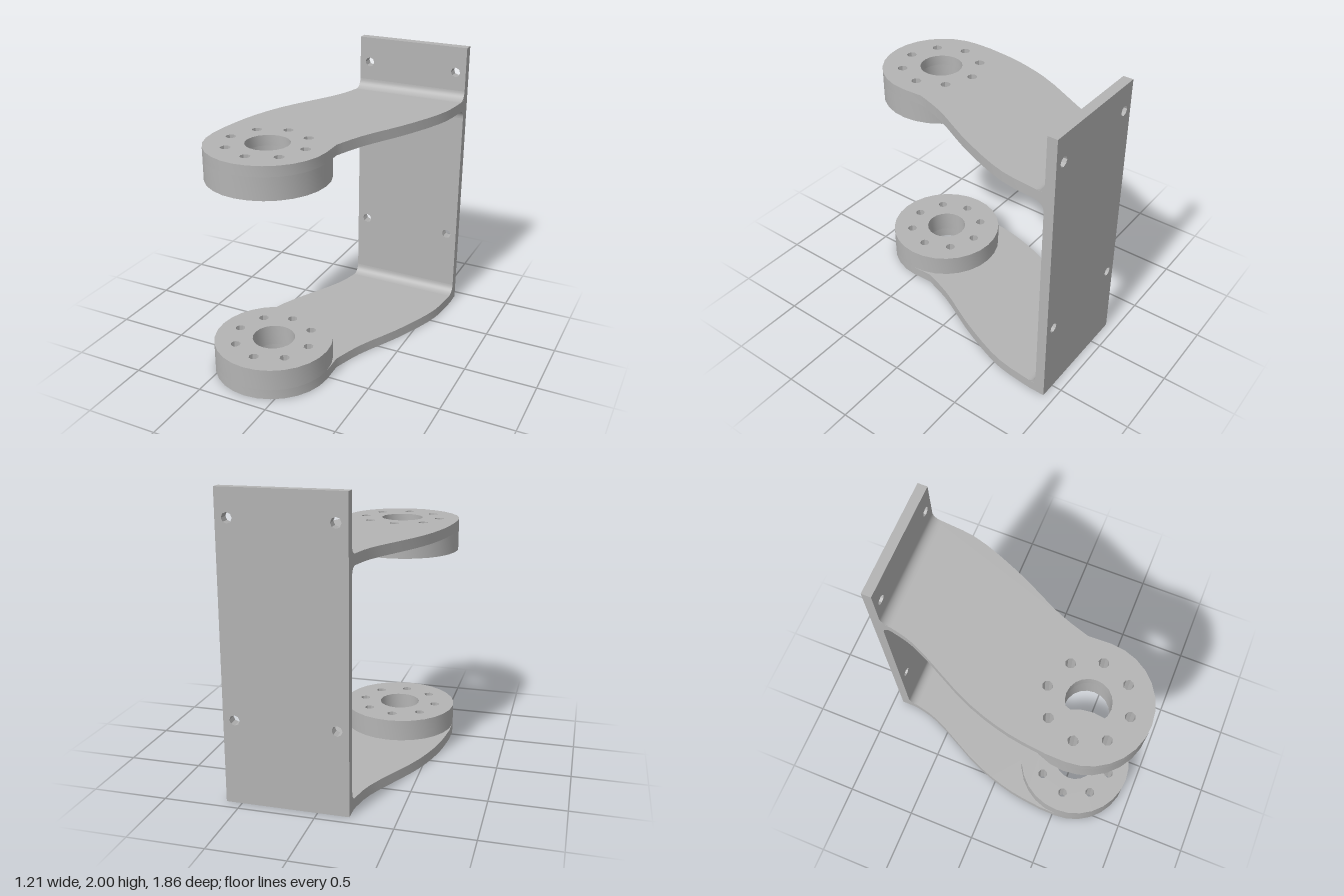
import * as THREE from 'three';
import { toCreasedNormals } from 'three/addons/utils/BufferGeometryUtils.js';

const WIDTH = [-0.205, 0.605];           // plate left and right edges
const PLATE_BACK = -0.93, PLATE_FRONT = -0.863;
const HUB = { x: -0.2, z: 0.523, r: 0.405 };
const ARM = 0.07, HUB_HEIGHT = 0.22, FILLET = 0.065;

// Points on an arc, as a list of Vector2
function arc(cx, cy, r, n, from = 0, to = Math.PI * 2) {
  return Array.from({ length: n + 1 }, (_, i) => {
    const a = from + (to - from) * i / n;
    return new THREE.Vector2(cx + r * Math.cos(a), cy + r * Math.sin(a));
  });
}

const hole = (x, y, r, n) => new THREE.Path(arc(x, y, r, n).slice(0, -1));

const curve = (pts) =>
  new THREE.SplineCurve(pts.map(([x, y]) => new THREE.Vector2(x, y))).getPoints(16);

// Bore and the ring of eight bolt holes
function hubHoles() {
  const list = [hole(HUB.x, HUB.z, 0.145, 20)];
  for (let i = 0; i < 8; i++) {
    const a = i * Math.PI / 4;
    list.push(hole(HUB.x + 0.267 * Math.cos(a), HUB.z + 0.267 * Math.sin(a), 0.034, 8));
  }
  return list;
}

function extrude(shape, depth) {
  return new THREE.ExtrudeGeometry(shape, { depth, bevelEnabled: false });
}

// Extrudes an (x, z) outline upward from y = bottom
function slab(shape, bottom, height) {
  const g = extrude(shape, height).rotateX(Math.PI / 2).translate(0, bottom + height, 0);
  return toCreasedNormals(g, 0.6);
}

// S-curved arm ending in a half round
function armShape() {
  const right = curve([[0.605, PLATE_FRONT], [0.603, -0.78], [0.57, -0.52], [0.44, -0.18],
    [0.28, 0.14], [0.2, 0.37]]);
  const front = arc(HUB.x, HUB.z, HUB.r, 14, 0, Math.PI);
  const left = curve([[-0.603, 0.4], [-0.567, 0.13], [-0.47, -0.18], [-0.27, -0.58],
    [-0.212, -0.78], [-0.205, PLATE_FRONT]]);
  const shape = new THREE.Shape([...right, ...front, ...left]);
  shape.holes.push(...hubHoles());
  return shape;
}

function hubShape() {
  const shape = new THREE.Shape(arc(HUB.x, HUB.z, HUB.r, 28).slice(0, -1));
  shape.holes.push(...hubHoles());
  return shape;
}

// Concave corner strip between plate and arm; dir is +1 above an arm, -1 below
function filletGeometry(y, dir) {
  const u = -PLATE_FRONT;                // profile is drawn in (-z, y)
  const pts = arc(u - FILLET, y + dir * FILLET, FILLET, 8, -dir * Math.PI / 2, 0);
  const shape = new THREE.Shape([new THREE.Vector2(u, y), ...pts]);
  const g = extrude(shape, WIDTH[1] - WIDTH[0]).rotateY(Math.PI / 2).translate(WIDTH[0], 0, 0);
  return toCreasedNormals(g, 0.5);
}

export function createModel() {
  const model = new THREE.Group();
  model.name = 'bracket';
  const grey = new THREE.MeshStandardMaterial({ color: 0xb4b4b4 });
  grey.name = 'grey metal';

  const add = (name, geometry) => {
    const mesh = new THREE.Mesh(geometry, grey);
    mesh.name = name;
    model.add(mesh);
  };

  // Mounting plate with four screw holes
  const [x0, x1] = WIDTH;
  const plate = new THREE.Shape([[x0, 0], [x1, 0], [x1, 2], [x0, 2]]
    .map(([x, y]) => new THREE.Vector2(x, y)));
  for (const x of [-0.13, 0.53])
    for (const y of [0.56, 1.82]) plate.holes.push(hole(x, y, 0.034, 8));
  add('mountingPlate', toCreasedNormals(
    extrude(plate, PLATE_FRONT - PLATE_BACK).translate(0, 0, PLATE_BACK), 0.6));

  // Lower arm carries its hub on top, upper arm carries it underneath
  const hubDepth = HUB_HEIGHT - ARM;
  add('lowerArm', slab(armShape(), 0, ARM));
  add('lowerHub', slab(hubShape(), ARM, hubDepth));
  add('upperArm', slab(armShape(), 1.555, ARM));
  add('upperHub', slab(hubShape(), 1.555 - hubDepth, hubDepth));

  // Fillets where the arms meet the plate
  add('lowerFillet', filletGeometry(ARM, 1));
  add('upperFilletAbove', filletGeometry(1.555 + ARM, 1));
  add('upperFilletBelow', filletGeometry(1.555, -1));

  return model;
}
